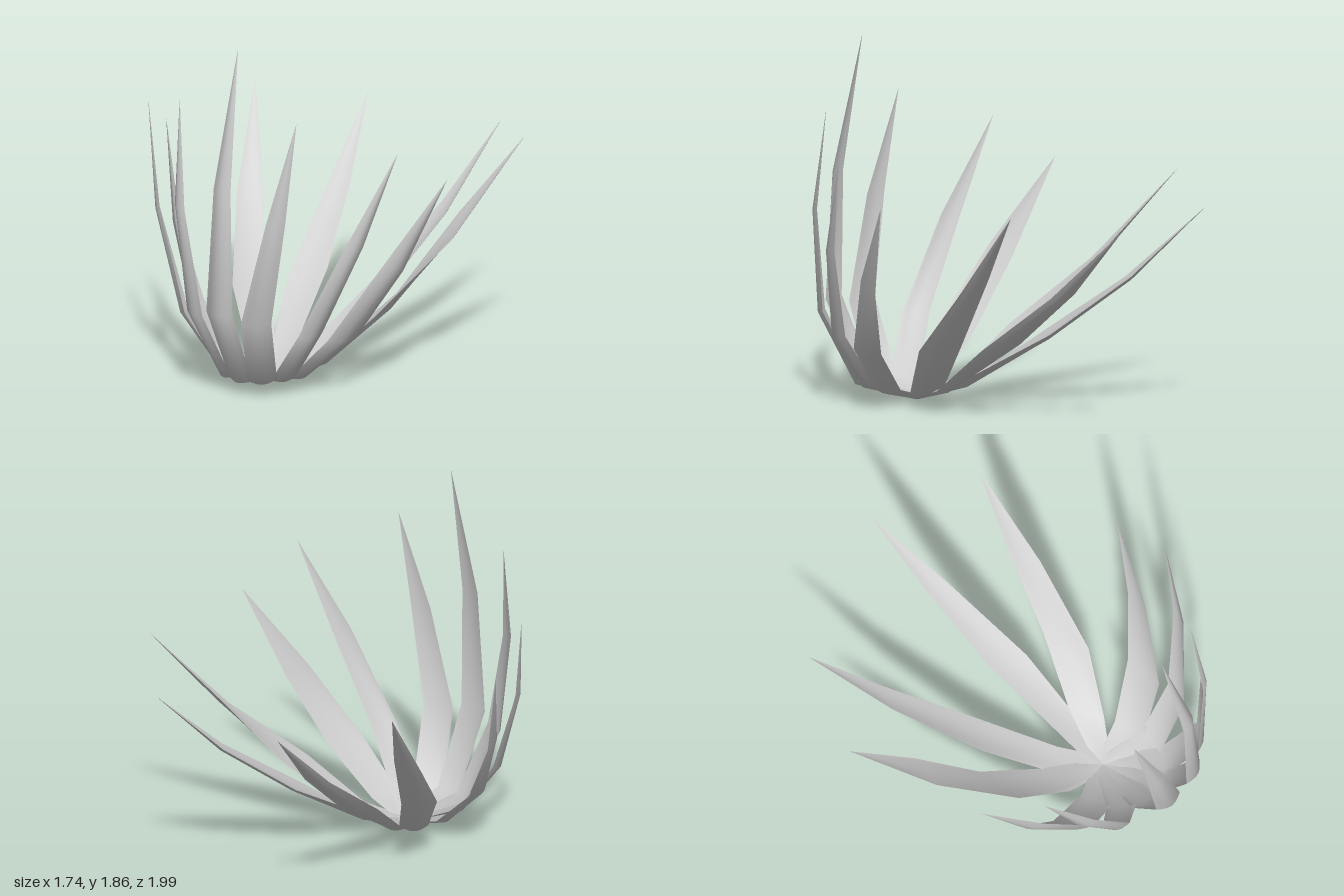
import * as THREE from 'three';

const material = new THREE.MeshStandardMaterial({ color: 0xcccccc, side: THREE.DoubleSide });
const CROWN = new THREE.Vector3(0, 0.035, 0.47);
const COLS = 6;

// Each leaf: left and right edge at three stations (seen from outside), then the tip.
const LEAVES = {
  frontLeaf: {
    edges: [[-0.07, 0.1, 0.78, 0.07, 0.1, 0.78], [-0.08, 0.5, 0.97, 0.08, 0.5, 0.97], [-0.052, 1.16, 0.945, 0.052, 1.16, 0.945]],
    tip: [0, 1.88, 0.8],
  },
  frontSideLeaf: {
    edges: [[0.05, 0.1, 0.79, 0.18, 0.11, 0.71], [0.12, 0.46, 0.95, 0.26, 0.47, 0.88], [0.25, 1.0, 0.92, 0.34, 1.02, 0.87]],
    tip: [0.36, 1.54, 0.8],
  },
  frontOuterLeaf: {
    edges: [[0.15, 0.1, 0.72, 0.23, 0.12, 0.59], [0.35, 0.38, 0.77, 0.42, 0.39, 0.65], [0.57, 0.87, 0.67, 0.63, 0.87, 0.59]],
    tip: [0.77, 1.37, 0.48],
  },
  sideLeaf: {
    edges: [[0.19, 0.09, 0.61, 0.22, 0.1, 0.44], [0.42, 0.33, 0.6, 0.48, 0.33, 0.4], [0.65, 0.74, 0.42, 0.69, 0.68, 0.31]],
    tip: [0.87, 1.17, 0.17],
  },
  backOuterLeaf: {
    edges: [[0.22, 0.1, 0.38, 0.18, 0.14, 0.2], [0.445, 0.36, 0.195, 0.41, 0.41, -0.04], [0.665, 0.71, -0.17, 0.61, 0.81, -0.32]],
    tip: [0.83, 1.18, -0.58],
  },
  backLeaf: {
    edges: [[0.16, 0.1, 0.26, 0.03, 0.12, 0.23], [0.285, 0.36, -0.08, 0.145, 0.39, -0.23], [0.37, 0.69, -0.545, 0.28, 0.71, -0.635]],
    tip: [0.41, 1.08, -0.99],
  },
};
const BULGE = [0.02, 0.028, 0.032, 0.022, 0.001];   // outer keel depth
const HOLLOW = [-0.01, 0.006, 0.01, 0.008, 0];      // channel of the inner face

// Crescent cross-sections lofted from the crown to the tip; mirror flips x.
function leafGeometry({ edges, tip }, mirror) {
  const flip = mirror ? -1 : 1;
  const vec = (x, y, z) => new THREE.Vector3(x * flip, y, z);
  const stations = edges.map((e) => {
    const pair = [vec(e[0], e[1], e[2]), vec(e[3], e[4], e[5])];
    return mirror ? pair.reverse() : pair;
  });
  const across = stations[0][1].clone().sub(stations[0][0]).normalize();
  const around = (p, half) => [p.clone().addScaledVector(across, -half), p.clone().addScaledVector(across, half)];
  stations.unshift(around(CROWN, 0.045));
  stations.push(around(vec(...tip), 0.0008));

  const mids = stations.map(([l, r]) => l.clone().add(r).multiplyScalar(0.5));
  const positions = [], index = [];
  for (const [depths, inner] of [[BULGE, false], [HOLLOW, true]]) {
    const start = positions.length / 3;
    stations.forEach(([l, r], i) => {
      const along = mids[Math.min(i + 1, mids.length - 1)].clone().sub(mids[Math.max(i - 1, 0)]);
      const outward = across.clone().cross(along);
      if (i < stations.length - 1) outward.copy(r).sub(l).cross(along);
      outward.normalize();
      for (let j = 0; j <= COLS; j++) {
        const t = j / COLS;
        const p = l.clone().lerp(r, t).addScaledVector(outward, depths[i] * Math.sin(Math.PI * t));
        positions.push(p.x, p.y, p.z);
      }
    });
    for (let i = 0; i < stations.length - 1; i++) {
      for (let j = 0; j < COLS; j++) {
        const a = start + i * (COLS + 1) + j, b = a + 1, c = b + COLS + 1, d = c - 1;
        if (inner) index.push(a, c, b, a, d, c);
        else index.push(a, b, c, a, c, d);
      }
    }
  }
  const geometry = new THREE.BufferGeometry();
  geometry.setAttribute('position', new THREE.Float32BufferAttribute(positions, 3));
  geometry.setIndex(index);
  geometry.computeVertexNormals();
  return geometry;
}

export function createModel() {
  const group = new THREE.Group();
  group.name = 'spikyPlant';
  const add = (name, leaf, mirror) => {
    const mesh = new THREE.Mesh(leafGeometry(leaf, mirror), material);
    mesh.name = name;
    group.add(mesh);
  };
  // One leaf in the middle of the front, the rest in mirrored pairs
  for (const [name, leaf] of Object.entries(LEAVES)) {
    if (name === 'frontLeaf') add(name, leaf, false);
    else {
      add(name + 'Left', leaf, false);
      add(name + 'Right', leaf, true);
    }
  }
  return group;
}
